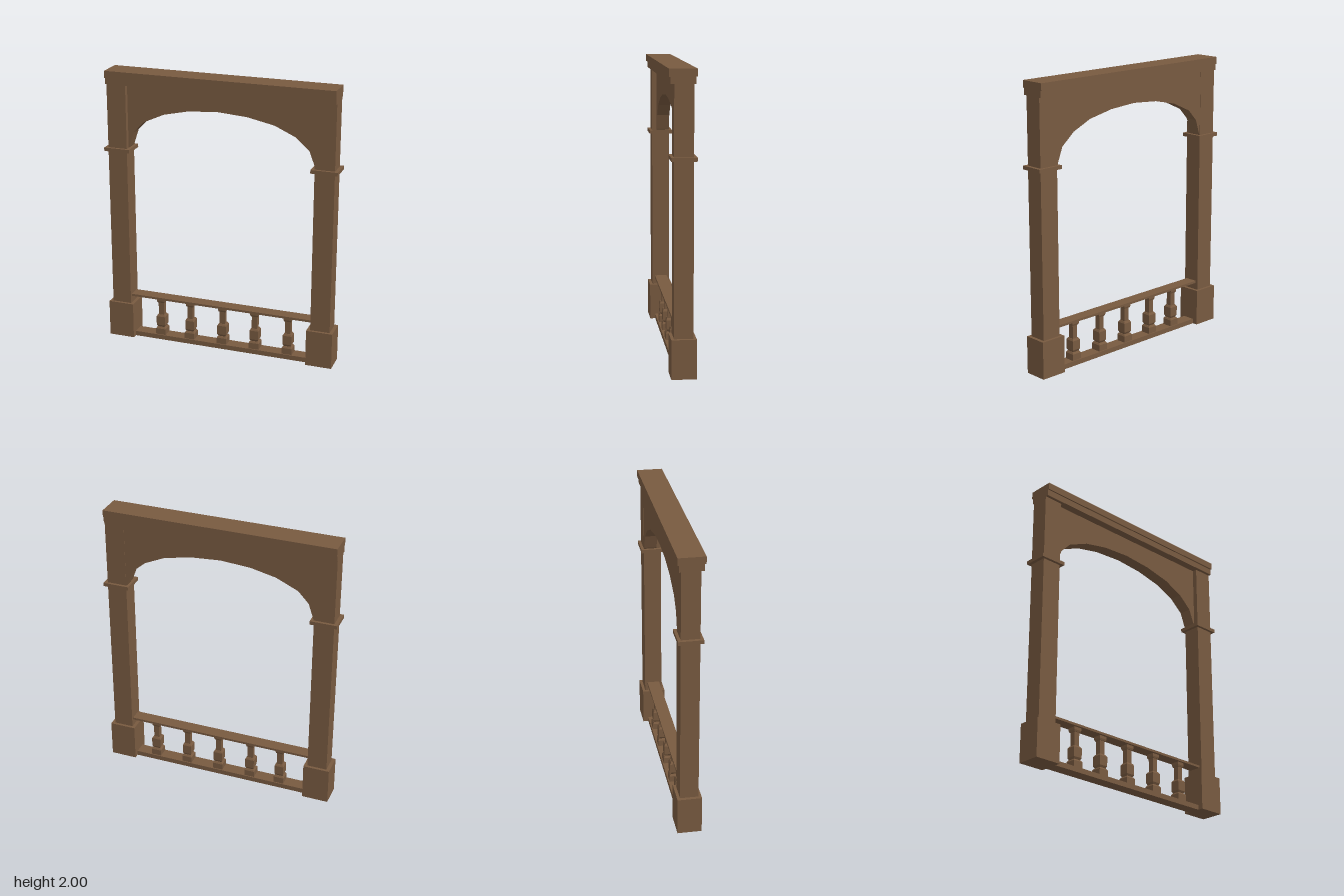
import * as THREE from 'three';

export function createModel() {
  const group = new THREE.Group();
  const wood = new THREE.MeshStandardMaterial({ color: 0x785a40 });
  wood.name = 'brown wood';

  function add(name, geometry) {
    const mesh = new THREE.Mesh(geometry, wood);
    mesh.name = name;
    group.add(mesh);
    return mesh;
  }
  // Box given by its limits on each axis
  function box(name, x0, x1, y0, y1, z0, z1) {
    const mesh = add(name, new THREE.BoxGeometry(x1 - x0, y1 - y0, z1 - z0));
    mesh.position.set((x0 + x1) / 2, (y0 + y1) / 2, (z0 + z1) / 2);
  }

  // Posts with plinths and collars
  for (const [side, x] of [['left', 0.749], ['right', -0.751]]) {
    box(side + 'Plinth', x - 0.094, x + 0.094, 0, 0.265, -0.088, 0.078);
    box(side + 'Post', x - 0.07, x + 0.07, 0.265, 1.905, -0.068, 0.058);
    box(side + 'Collar', x - 0.094, x + 0.094, 1.42, 1.445, -0.088, 0.078);
  }

  // Stepped lintel
  box('lintelLower', -0.821, 0.819, 1.905, 1.95, -0.08, 0.08);
  box('lintelUpper', -0.821, 0.819, 1.95, 2, -0.09, 0.09);

  // Arched panel, set back from the front of the posts
  const arch = [
    [-0.681, 1.44], [-0.675, 1.455], [-0.64, 1.56], [-0.565, 1.64], [-0.41, 1.71],
    [-0.23, 1.75], [-0.02, 1.765], [0.19, 1.75], [0.385, 1.71], [0.53, 1.645],
    [0.63, 1.56], [0.67, 1.455], [0.679, 1.44], [0.679, 1.905], [-0.681, 1.905],
  ];
  const panel = new THREE.Shape(arch.map(([x, y]) => new THREE.Vector2(x, y)));
  const archPanel = add('archPanel',
    new THREE.ExtrudeGeometry(panel, { depth: 0.09, bevelEnabled: false }));
  archPanel.position.z = -0.066;

  // Balustrade rails
  box('bottomRail', -0.68, 0.68, 0, 0.035, -0.05, 0.04);
  box('topRail', -0.682, 0.68, 0.315, 0.331, -0.05, 0.04);

  // Square turned balusters: [half width, height]
  const profile = [
    [0, 0.034], [0.037, 0.034], [0.037, 0.08], [0.029, 0.092], [0.024, 0.092],
    [0.033, 0.108], [0.033, 0.175], [0.025, 0.188], [0.02, 0.188], [0.02, 0.284],
    [0.025, 0.284], [0.029, 0.296], [0.029, 0.316], [0, 0.316],
  ].map(([w, y]) => new THREE.Vector2(w * Math.SQRT2, y));
  const baluster = new THREE.LatheGeometry(profile, 4).rotateY(Math.PI / 4).toNonIndexed();
  baluster.computeVertexNormals();
  for (const x of [-0.46, -0.235, 0.012, 0.256, 0.503]) {
    add('baluster', baluster).position.set(x, 0, -0.005);
  }

  return group;
}
